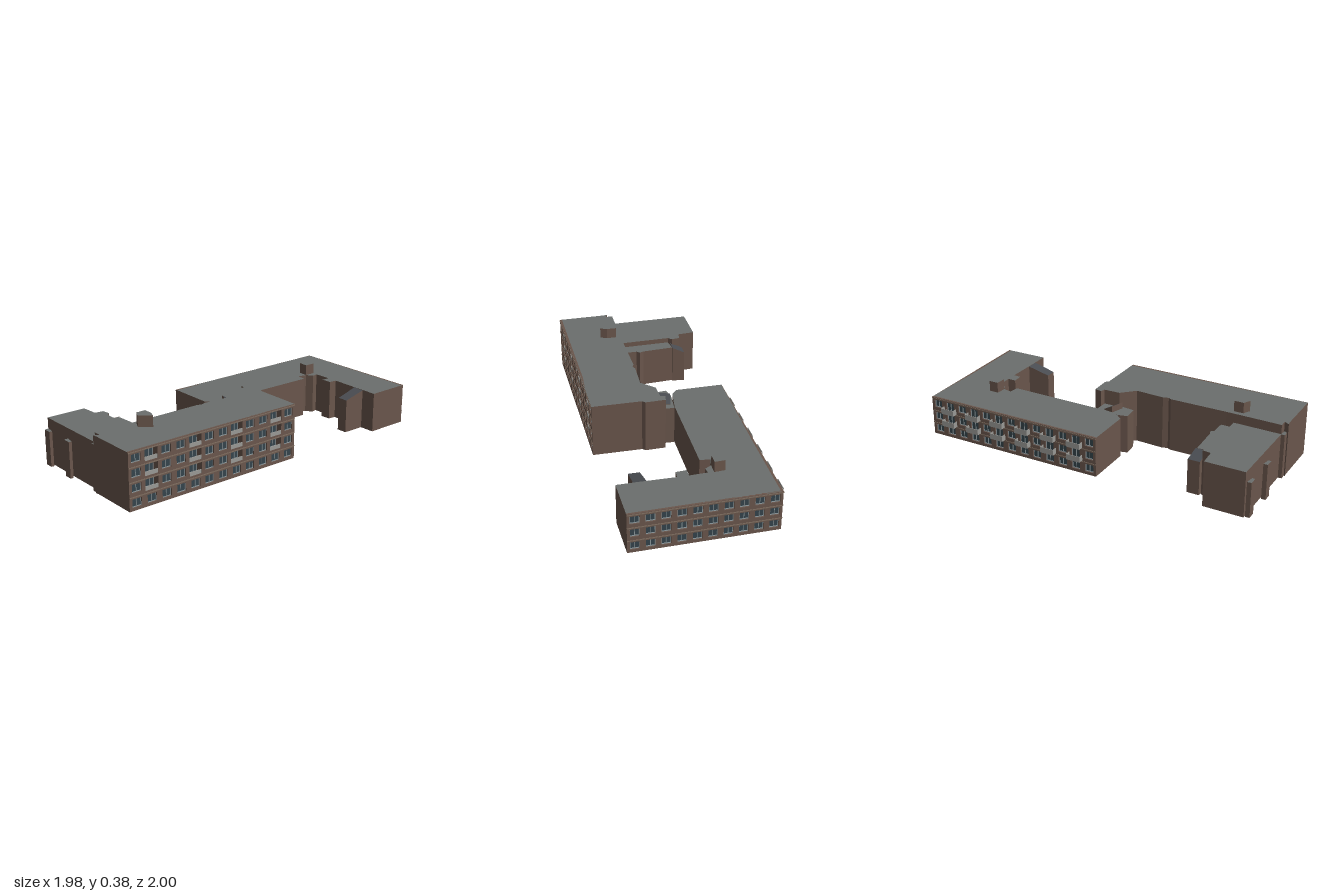
import * as THREE from 'three';
import { mergeGeometries } from 'three/addons/utils/BufferGeometryUtils.js';

const mat = (color) => new THREE.MeshStandardMaterial({ color, side: THREE.DoubleSide });
const M = {
  brick: mat(0x6a564c), roof: mat(0x6b6f6d), slope: mat(0x4a4d52),
  glass: mat(0x34444c), frame: mat(0x8b979b), panel: mat(0x9a9a96), band: mat(0x7d6c5e),
};

// One merged mesh from a list of geometries
function merged(name, list, material) {
  const mesh = new THREE.Mesh(mergeGeometries(list.map((g) => (g.index ? g.toNonIndexed() : g))), material);
  mesh.name = name;
  return mesh;
}

// Put an object on the wall line a -> b (left to right seen from outside)
function onWall(obj, a, b) {
  obj.rotation.y = Math.atan2(a[1] - b[1], b[0] - a[0]);
  obj.position.set(a[0], 0, a[1]);
  return obj;
}

const rect = (C, x, y, w, h) => new C([[0, 0], [w, 0], [w, h], [0, h]].map(([i, j]) => new THREE.Vector2(x + i, y + j)));
const extrude = (shape, depth) => new THREE.ExtrudeGeometry(shape, { depth, bevelEnabled: false });
const box = (x, y, z, w, h, d) => new THREE.BoxGeometry(w, h, d).translate(x, y, z);

// Rectangular ring, its front at z
function ring(x, y, w, h, t, depth, z) {
  const s = rect(THREE.Shape, x, y, w, h);
  s.holes.push(rect(THREE.Path, x + t, y + t, w - 2 * t, h - 2 * t));
  return extrude(s, depth).translate(0, 0, z - depth);
}

// Windowed wall with recessed glass, optional loggias and balconies
function facade(a, b, height, { floors, cols, loggia = () => false, balcony = () => false }) {
  const g = new THREE.Group();
  g.name = 'windowedFacade';
  const len = Math.hypot(b[0] - a[0], b[1] - a[1]);
  const pitch = len / cols, storey = height / floors;
  const wall = rect(THREE.Shape, 0, 0, len, height);
  const brick = [], glass = [], frames = [], panels = [], bands = [];
  for (let f = 0; f < floors; f++) {
    const y0 = f * storey;
    bands.push(box(len / 2, y0 + storey - 0.006, 0.001, len, 0.005, 0.004));
    for (let c = 0; c < cols; c++) {
      const deep = loggia(c, f), out = balcony(c, f);
      const w = pitch * (deep ? 0.86 : 0.62), h = deep ? 0.062 : out ? 0.056 : 0.046;
      const x = (c + 0.5) * pitch - w / 2, y = y0 + (deep || out ? 0.007 : 0.017);
      const back = deep ? -0.045 : -0.012;
      wall.holes.push(rect(THREE.Path, x, y, w, h));
      glass.push(new THREE.PlaneGeometry(w, h).translate(x + w / 2, y + h / 2, back + 0.001));
      frames.push(ring(x, y, w, h, 0.003, 0.004, back + 0.005));
      for (const k of deep ? [0.33, 0.67] : [0.5]) frames.push(box(x + w * k, y + h / 2, back + 0.003, 0.003, h, 0.004));
      if (deep) {
        brick.push(ring(x - 0.002, y - 0.002, w + 0.004, h + 0.004, 0.002, 0.036, -0.011));
        panels.push(box(x + w / 2, y + 0.011, -0.004, w, 0.022, 0.004));
      }
      if (out) {
        // slab, front parapet and two sides
        const m = x + w / 2, bw = 0.085;
        panels.push(box(m, y0 + 0.004, 0.016, bw, 0.006, 0.032), box(m, y0 + 0.02, 0.031, bw, 0.03, 0.003));
        for (const s of [-1, 1]) panels.push(box(m + s * (bw / 2 - 0.0015), y0 + 0.02, 0.016, 0.003, 0.03, 0.03));
      }
    }
  }
  brick.push(extrude(wall, 0.012).translate(0, 0, -0.012));
  g.add(merged('facadeWall', brick, M.brick), merged('windowGlass', glass, M.glass),
    merged('windowFrames', frames, M.frame), merged('floorBands', bands, M.band));
  if (panels.length) g.add(merged('balconyPanels', panels, M.panel));
  return onWall(g, a, b);
}

// Open-bottomed block: counter-clockwise outline seen from above, given as [x, z];
// facades maps an edge number to its window layout
function block(name, pts, height, facades = {}) {
  const g = new THREE.Group();
  g.name = name;
  const walls = [];
  pts.forEach((a, i) => {
    const b = pts[(i + 1) % pts.length];
    if (facades[i]) { g.add(facade(a, b, height, facades[i])); return; }
    const len = Math.hypot(b[0] - a[0], b[1] - a[1]);
    const o = onWall(new THREE.Object3D(), a, b);
    o.updateMatrix();
    walls.push(new THREE.PlaneGeometry(len, height).translate(len / 2, height / 2, 0).applyMatrix4(o.matrix));
  });
  const top = new THREE.ShapeGeometry(new THREE.Shape(pts.map(([x, z]) => new THREE.Vector2(x, -z))));
  top.rotateX(-Math.PI / 2).translate(0, height, 0);
  g.add(merged('walls', walls, M.brick), merged('roof', [top], M.roof));
  return g;
}

// Stair block with a roof falling from the edge p0-p1 to the edge p2-p3
function stairBlock(name, p, high, low) {
  const g = new THREE.Group();
  g.name = name;
  const hs = [high, high, low, low], pos = [];
  const quad = (a, b, c, d) => pos.push(...a, ...b, ...c, ...a, ...c, ...d);
  const at = (i, y) => [p[i][0], y, p[i][1]];
  for (let i = 0; i < 4; i++) {
    const j = (i + 1) % 4;
    quad(at(i, 0), at(j, 0), at(j, hs[j]), at(i, hs[i]));
  }
  const make = (list) => {
    const geo = new THREE.BufferGeometry();
    geo.setAttribute('position', new THREE.Float32BufferAttribute(list, 3));
    geo.computeVertexNormals();
    return geo;
  };
  const sides = make(pos.splice(0));
  quad(...hs.map((y, i) => at(i, y)));
  g.add(merged('stairWalls', [sides], M.brick), merged('slopedRoof', [make(pos)], M.slope));
  return g;
}

export function createModel() {
  const model = new THREE.Group();
  model.name = 'apartmentBuildings';

  // Tall south building
  model.add(block('southBuilding', [
    [-0.42, 1], [0.36, 0.21], [0.16, 0.005], [0.16, -0.018], [0.075, -0.1], [0.04, -0.075], [0.055, -0.05],
    [-0.01, 0.02], [-0.01, 0.125], [-0.135, 0.24], [-0.15, 0.27], [-0.17, 0.275],
    [-0.41, 0.52], [-0.44, 0.55], [-0.64, 0.745], [-0.61, 0.775], [-0.64, 0.785], [-0.62, 0.8],
  ], 0.32, { 0: { floors: 4, cols: 12, loggia: (c, f) => c % 3 === 1 && f > 0 } }));
  model.add(block('southChimney', [[-0.45, 0.6], [-0.435, 0.645], [-0.355, 0.64], [-0.37, 0.6], [-0.41, 0.56]], 0.383));

  // Lower west wing, its courtyard strip and side bays
  model.add(block('westWing', [
    [-0.98, 0.405], [-0.64, 0.745], [-0.44, 0.55], [-0.66, 0.335], [-0.66, 0.305], [-0.7, 0.275], [-0.74, 0.305], [-0.815, 0.24],
  ], 0.265));
  model.add(block('westWingStrip', [
    [-0.66, 0.335], [-0.44, 0.55], [-0.39, 0.52], [-0.39, 0.495], [-0.45, 0.435], [-0.45, 0.41], [-0.475, 0.4], [-0.615, 0.275],
  ], 0.235));
  model.add(stairBlock('westStair', [[-0.66, 0.32], [-0.61, 0.27], [-0.655, 0.21], [-0.705, 0.26]], 0.235, 0.2));
  for (const [x, z, h] of [[-0.97, 0.445, 0.205], [-0.825, 0.595, 0.21], [-0.635, 0.77, 0.265]]) {
    model.add(block('sideBay', [[x - 0.022, z - 0.012], [x + 0.012, z + 0.022], [x + 0.025, z + 0.01], [x - 0.005, z - 0.03]], h));
  }

  // Link between the two buildings
  model.add(block('link', [
    [-0.14, 0.03], [-0.075, 0.085], [-0.02, 0.04], [0.03, 0.0], [0.055, -0.05], [0, -0.112], [-0.045, -0.075], [-0.11, -0.02],
  ], 0.232));
  model.add(stairBlock('linkStair', [[-0.07, -0.04], [-0.035, 0.03], [0.015, 0.0], [-0.02, -0.075]], 0.27, 0.235));

  // North building
  model.add(block('northBuilding', [
    [0.99, -0.435], [0.41, -1], [-0.365, -0.215], [-0.17, -0.02], [-0.12, -0.025], [-0.005, -0.11], [0.39, -0.5],
    [0.355, -0.545], [0.4, -0.575], [0.445, -0.565], [0.465, -0.595],
    [0.54, -0.525], [0.505, -0.49], [0.55, -0.45], [0.585, -0.48], [0.735, -0.325], [0.81, -0.25],
  ], 0.237, {
    0: { floors: 3, cols: 10 },
    1: { floors: 3, cols: 13, balcony: (c, f) => c % 2 === 1 && f > 0 },
  }));
  model.add(block('northChimney', [[0.36, -0.62], [0.4, -0.575], [0.445, -0.62], [0.4, -0.66]], 0.3));
  model.add(stairBlock('northStair', [[0.75, -0.32], [0.7, -0.37], [0.605, -0.265], [0.65, -0.22]], 0.237, 0.2));
  return model;
}
